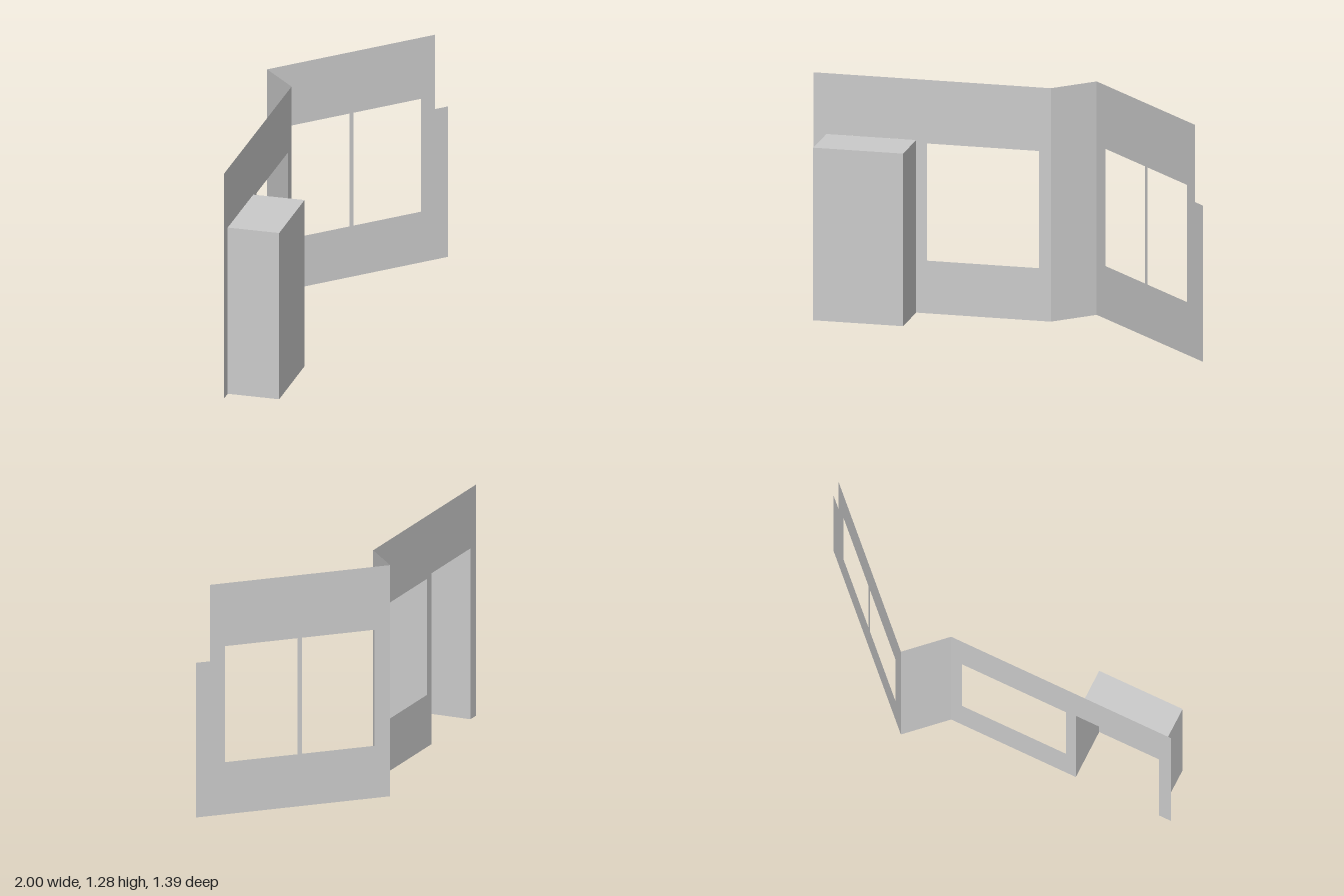
import * as THREE from 'three';

const HEIGHT = 1.285;
const SILL = 0.29, HEAD = 0.935;
const BOX_TOP = 0.95;

export function createModel() {
  const model = new THREE.Group();
  model.name = 'wallWithWindows';
  const grey = new THREE.MeshStandardMaterial({ color: 0xcccccc, side: THREE.DoubleSide });
  grey.name = 'lightGrey';

  const polygon = (points) => new THREE.Shape(points.map(([x, y]) => new THREE.Vector2(x, y)));

  // Upright sheet from plan point a to b; outline x values are model x,
  // or, for sheets along z, fractions of the length.
  function sheet(name, a, b, outline, windows = [], toFraction = (x) => (x - a[0]) / (b[0] - a[0])) {
    const shape = polygon(outline);
    for (const [x0, x1] of windows) {
      shape.holes.push(polygon([[x0, SILL], [x0, HEAD], [x1, HEAD], [x1, SILL]]));
    }
    const geometry = new THREE.ShapeGeometry(shape);
    const p = geometry.attributes.position;
    for (let i = 0; i < p.count; i++) {
      const t = toFraction(p.getX(i));
      p.setXYZ(i, a[0] + t * (b[0] - a[0]), p.getY(i), a[1] + t * (b[1] - a[1]));
    }
    geometry.computeVertexNormals();
    const mesh = new THREE.Mesh(geometry, grey);
    mesh.name = name;
    model.add(mesh);
  }

  // Plan corners of the folded wall
  const end = [-1, 0.55], foldA = [-0.1, -0.39], foldB = [-0.1, -0.67], farEnd = [1, -0.697];

  // Diagonal wall, with a doorway cut where the box stands
  sheet('diagonalWall', end, foldA, [
    [-1, 0], [-0.95, 0], [-0.95, BOX_TOP], [-0.61, BOX_TOP], [-0.61, 0],
    [-0.1, 0], [-0.1, HEIGHT], [-1, HEIGHT],
  ], [[-0.57, -0.145]]);

  // Short return between the two main walls
  const rectangle = (h) => [[0, 0], [1, 0], [1, h], [0, h]];
  const same = (t) => t;
  sheet('returnWall', foldA, foldB, rectangle(HEIGHT), [], same);

  // Rear wall with a pair of windows and a notched upper corner
  sheet('rearWall', foldB, farEnd, [
    [-0.1, 0], [1, 0], [1, 0.86], [0.92, 0.86], [0.92, HEIGHT], [-0.1, HEIGHT],
  ], [[-0.01, 0.4], [0.425, 0.835]]);

  // Projecting box, open at the back and underneath
  const corners = [[-0.95, 0.498], [-0.745, 0.695], [-0.405, 0.338], [-0.61, 0.143]];
  ['boxLeftSide', 'boxFront', 'boxRightSide'].forEach((name, i) =>
    sheet(name, corners[i], corners[i + 1], rectangle(BOX_TOP), [], same));

  const lid = new THREE.ShapeGeometry(polygon(corners.map(([x, z]) => [x, -z])));
  lid.rotateX(-Math.PI / 2);
  const boxTop = new THREE.Mesh(lid, grey);
  boxTop.name = 'boxTop';
  boxTop.position.y = BOX_TOP;
  model.add(boxTop);

  return model;
}
